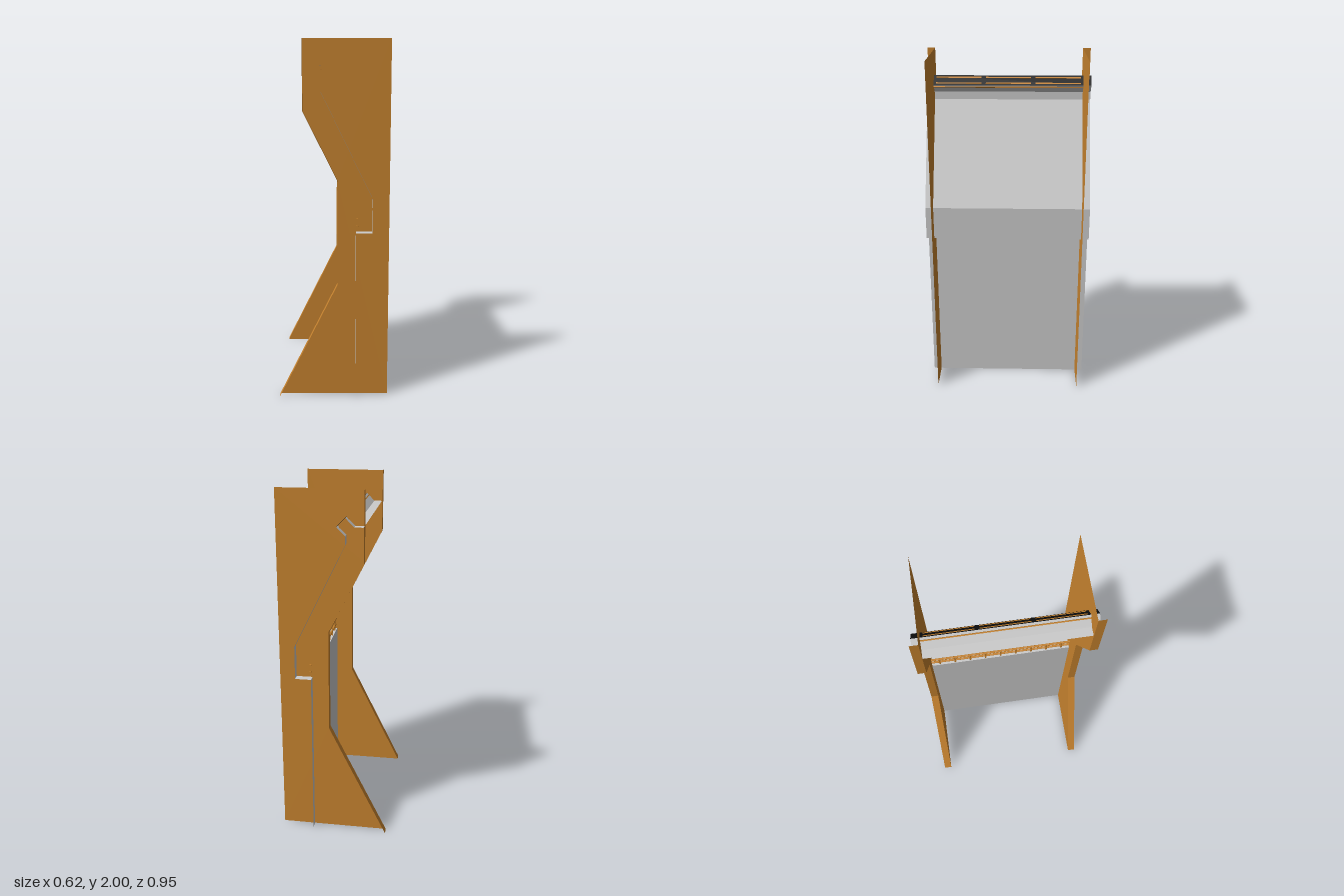
import * as THREE from 'three';

const material = (color) =>
  new THREE.MeshStandardMaterial({ color, side: THREE.DoubleSide, flatShading: true });
const grey = material(0xcccccc);
const wood = material(0xc8842f);
const black = material(0x111111);

const INNER = 0.43; // z of the side plates
const OUTER = 0.475; // z of the outer edges

// Thin sheet following an [x, y] path, spanning z0 to z1
function sheet(name, path, z0, z1, mat) {
  const pos = [];
  for (let i = 0; i + 1 < path.length; i++) {
    const [ax, ay] = path[i];
    const [bx, by] = path[i + 1];
    pos.push(ax, ay, z0, bx, by, z0, bx, by, z1, ax, ay, z0, bx, by, z1, ax, ay, z1);
  }
  const geo = new THREE.BufferGeometry();
  geo.setAttribute('position', new THREE.Float32BufferAttribute(pos, 3));
  geo.computeVertexNormals();
  const mesh = new THREE.Mesh(geo, mat);
  mesh.name = name;
  return mesh;
}

function box(name, w, h, d, x, y, z, mat) {
  const mesh = new THREE.Mesh(new THREE.BoxGeometry(w, h, d), mat);
  mesh.position.set(x, y, z);
  mesh.name = name;
  return mesh;
}

export function createModel() {
  const model = new THREE.Group();
  model.name = 'cabinet';

  // Side plates, each with an outward edge strip along the shaped side
  const edge = [[-0.17, 2], [-0.17, 1.62], [0.02, 1.24], [0.02, 0.665], [-0.31, 0]];
  const outline = [...edge, [0.305, 0], [0.305, 2]].map(([x, y]) => new THREE.Vector2(x, y));
  const plate = new THREE.ShapeGeometry(new THREE.Shape(outline));
  for (const s of [1, -1]) {
    const side = new THREE.Group();
    side.name = s > 0 ? 'frontSide' : 'backSide';
    const panel = new THREE.Mesh(plate, wood);
    panel.name = 'sidePlate';
    panel.position.z = s * INNER;
    side.add(panel, sheet('edgeStrip', edge, s * INNER, s * OUTER, wood));
    model.add(side);
  }

  // Folded panels running the full width between and through the sides
  model.add(
    sheet('lowerPanel', [[0.12, 0], [0.12, 0.957]], -OUTER, OUTER, grey),
    sheet('upperPanel', [[0.12, 0.957], [0.21, 0.957], [0.21, 1.145], [-0.072, 1.72],
      [-0.072, 1.765], [-0.025, 1.812]], -OUTER, OUTER, grey),
    sheet('lampFace', [[-0.025, 1.812], [-0.072, 1.859]], -OUTER, OUTER, black),
    sheet('topLedge', [[-0.072, 1.859], [-0.119, 1.812], [-0.167, 1.812]], -OUTER, OUTER, grey),
  );

  // Slanted board just behind the lamp face, and slim trims on the face
  const lamp = new THREE.Group();
  lamp.name = 'lampUnit';
  lamp.position.set(-0.0485, 1.8355, 0);
  lamp.rotation.z = Math.PI / 4;
  lamp.add(box('lampBoard', 0.006, 0.077, 0.88, -0.017, 0, 0, wood));
  for (const z of [-0.285, 0, 0.285])
    for (const y of [-0.021, 0.018])
      lamp.add(box('lampTrim', 0.004, 0.008, 0.26, 0, y, z, wood));
  model.add(lamp);

  // Small rail fence on the step
  const fence = new THREE.Group();
  fence.name = 'railFence';
  for (const y of [0.986, 1.026]) {
    const rail = new THREE.Mesh(new THREE.CylinderGeometry(0.007, 0.007, 0.88, 8), wood);
    rail.rotation.x = Math.PI / 2;
    rail.position.set(0.13, y, 0);
    rail.name = 'rail';
    fence.add(rail);
  }
  for (let i = -4; i <= 4; i++)
    fence.add(box('post', 0.01, 0.08, 0.01, 0.13, 0.99, i * 0.095, wood));
  model.add(fence);

  return model;
}
